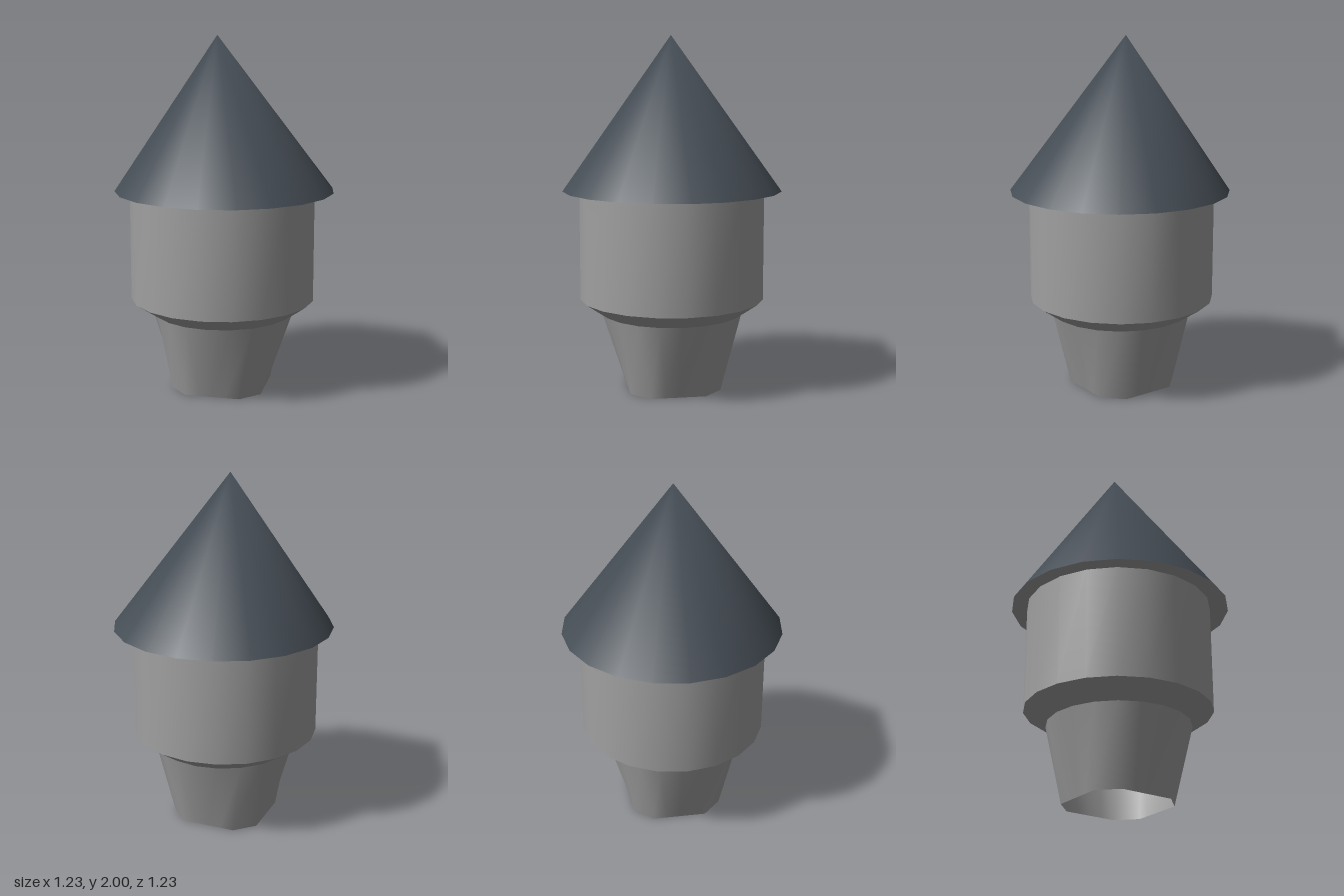
import * as THREE from 'three';
import { mergeVertices } from 'three/addons/utils/BufferGeometryUtils.js';

const SIDES = 20;

// Ring of points: centre offset x, height y, radius r
function circle(x, y, r) {
  return Array.from({ length: SIDES }, (_, i) => {
    const a = (i / SIDES) * Math.PI * 2;
    return [x + r * Math.cos(a), y, r * Math.sin(a)];
  });
}

// Square ring with cut corners; h is half the width across the flats
function cutSquare(x, y, h) {
  const angles = [0, 16, 31, 59, 74];
  return Array.from({ length: SIDES }, (_, i) => {
    const local = angles[i % 5];
    const a = THREE.MathUtils.degToRad(local + 90 * Math.floor(i / 5));
    const r = h / Math.cos(THREE.MathUtils.degToRad(Math.min(local, 90 - local)));
    return [x + r * Math.cos(a), y, r * Math.sin(a)];
  });
}

// Smooth open band between two rings; edges between bands stay sharp
function band(name, lower, upper, material) {
  const index = [];
  for (let i = 0; i < SIDES; i++) {
    const j = (i + 1) % SIDES;
    index.push(i, SIDES + i, j);
    index.push(j, SIDES + i, SIDES + j);
  }
  let geometry = new THREE.BufferGeometry();
  geometry.setAttribute('position', new THREE.Float32BufferAttribute([...lower, ...upper].flat(), 3));
  geometry.setIndex(index);
  geometry = mergeVertices(geometry, 1e-4);
  geometry.computeVertexNormals();
  const mesh = new THREE.Mesh(geometry, material);
  mesh.name = name;
  return mesh;
}

export function createModel() {
  const stone = new THREE.MeshStandardMaterial({ color: 0xa0a0a0, side: THREE.DoubleSide });
  stone.name = 'grey stone';
  const slate = new THREE.MeshStandardMaterial({ color: 0x454d55, side: THREE.DoubleSide });
  slate.name = 'dark slate';

  const footBottom = cutSquare(-0.013, 0, 0.257);
  const footTop = circle(-0.006, 0.437, 0.4);
  const wallBottom = circle(-0.01, 0.52, 0.522);
  const wallTop = circle(-0.01, 1.14, 0.522);
  const eaves = circle(0, 1.14, 0.617);
  const apex = circle(-0.04, 2, 0);

  const model = new THREE.Group();
  model.name = 'turret';
  model.add(
    band('foot', footBottom, footTop, stone), // open at the bottom
    band('corbel', footTop, wallBottom, stone),
    band('wall', wallBottom, wallTop, stone),
    band('eavesUnderside', wallTop, eaves, stone),
    band('roof', eaves, apex, slate), // smooth up to one shared tip
  );
  return model;
}
